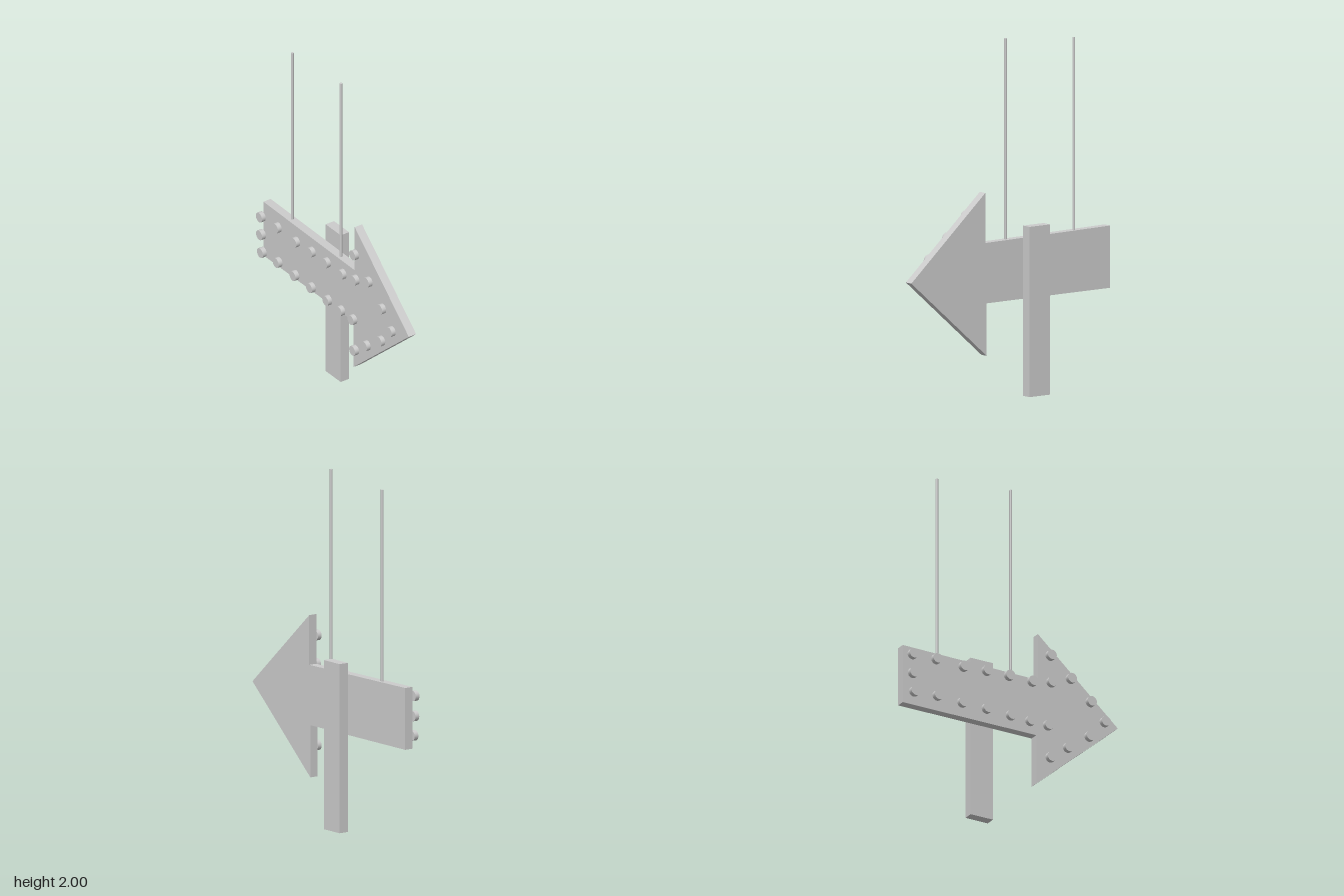
import * as THREE from 'three';

export function createModel() {
  const group = new THREE.Group();
  const grey = new THREE.MeshStandardMaterial({ color: 0xcccccc });
  const add = (name, geometry, x, y, z) => {
    const mesh = new THREE.Mesh(geometry, grey);
    mesh.name = name;
    mesh.position.set(x, y, z);
    group.add(mesh);
  };

  // Arrow board, slightly uneven like a hand-cut sign
  const outline = [
    [-0.688, 0.885], [-0.688, 0.537], [0.165, 0.537], [0.165, 0.243],
    [0.686, 0.7], [0.175, 1.155], [0.175, 0.875],
  ].map(([x, y]) => new THREE.Vector2(x, y));
  const board = new THREE.ExtrudeGeometry(new THREE.Shape(outline), { depth: 0.05, bevelEnabled: false });
  add('arrowBoard', board, 0, 0, -0.012);

  // Post standing behind the board
  add('post', new THREE.BoxGeometry(0.142, 0.952, 0.057), -0.137, 0.476, -0.0685);

  // Hanging rods: x, bottom, top, z
  for (const [x, y0, y1, z] of [[-0.453, 0.875, 1.96, 0.01], [0.014, 0.87, 2, 0.016]]) {
    add('hangingRod', new THREE.CylinderGeometry(0.008, 0.008, y1 - y0, 8), x, (y0 + y1) / 2, z);
  }

  // Round bulbs floating just in front of the board, following its edge
  const bulb = new THREE.CylinderGeometry(0.029, 0.029, 0.026, 20).rotateX(Math.PI / 2);
  const bulbs = [
    // upper row
    [-0.648, 0.823], [-0.497, 0.828], [-0.323, 0.823], [-0.175, 0.833],
    [-0.032, 0.836], [0.116, 0.836], [0.238, 0.86],
    // arrowhead
    [0.233, 1.021], [0.362, 0.91], [0.489, 0.799], [0.579, 0.698],
    [0.481, 0.587], [0.344, 0.487], [0.233, 0.402],
    // lower row
    [0.217, 0.593], [0.103, 0.593], [-0.021, 0.598], [-0.175, 0.603],
    [-0.331, 0.603], [-0.489, 0.608], [-0.638, 0.598],
    // tail end
    [-0.646, 0.709],
  ];
  for (const [x, y] of bulbs) add('bulb', bulb, x, y, 0.084);

  return group;
}
